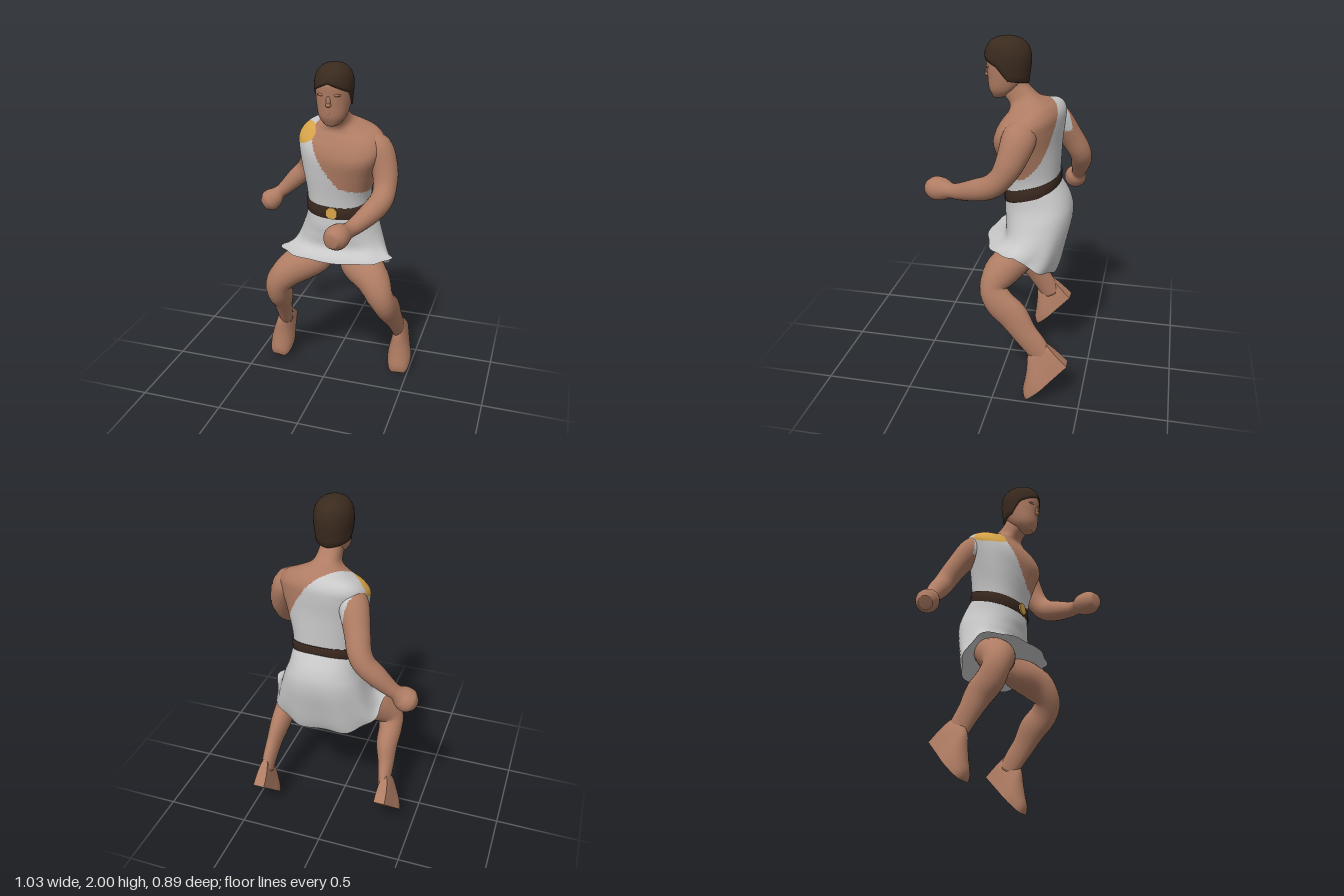
import * as THREE from 'three';
import { toCreasedNormals } from 'three/addons/utils/BufferGeometryUtils.js';

const V = (x, y, z) => new THREE.Vector3(x, y, z);
const lerp = THREE.MathUtils.lerp;
const mat = (name, color, side = THREE.FrontSide) => new THREE.MeshStandardMaterial({ name, color, side });

// Catmull-Rom interpolation of rows of numbers
function smooth(rows, n) {
  const out = [];
  for (let i = 0; i < rows.length - 1; i++) {
    const a = rows[Math.max(i - 1, 0)], b = rows[i], c = rows[i + 1], d = rows[Math.min(i + 2, rows.length - 1)];
    for (let k = 0; k < n; k++) {
      const t = k / n;
      out.push(b.map((_, j) => b[j] + 0.5 * t * (c[j] - a[j]
        + t * (2 * a[j] - 5 * b[j] + 4 * c[j] - d[j] + t * (3 * (b[j] - c[j]) + d[j] - a[j])))));
    }
  }
  out.push(rows[rows.length - 1]);
  return out;
}

// skin a stack of closed rings; pick(centroid) chooses the material of each triangle
function loft(name, rings, mats, pick = () => 0, caps = true) {
  const n = rings[0].length, pts = rings.flat(), tris = [];
  for (let i = 0; i < rings.length - 1; i++) {
    for (let j = 0; j < n; j++) {
      const a = i * n + j, b = i * n + (j + 1) % n;
      tris.push([a, a + n, b], [b, a + n, b + n]);
    }
  }
  if (caps) {
    const last = (rings.length - 1) * n, mid = (r) => r.reduce((s, p) => s.add(p), V(0, 0, 0)).divideScalar(n);
    const c0 = pts.push(mid(rings[0])) - 1, c1 = pts.push(mid(rings[rings.length - 1])) - 1;
    for (let j = 0; j < n; j++) {
      const k = (j + 1) % n;
      tris.push([c0, j, k], [c1, last + k, last + j]);
    }
  }
  const geo = new THREE.BufferGeometry().setFromPoints(pts), index = [];
  const buckets = mats.map(() => []);
  for (const t of tris) {
    const c = pts[t[0]].clone().add(pts[t[1]]).add(pts[t[2]]).divideScalar(3);
    buckets[pick(c)].push(...t);
  }
  buckets.forEach((b, m) => { geo.addGroup(index.length, b.length, m); for (const i of b) index.push(i); });
  geo.setIndex(index);
  geo.computeVertexNormals();
  const mesh = new THREE.Mesh(geo, mats.length > 1 ? mats : mats[0]);
  mesh.name = name;
  return mesh;
}

// roughly horizontal body ring: centre, half width, half depth, forward tilt, yaw
function bodyRing([x, y, z, rx, rz, tilt = 0, yaw = 0], n = 72, power = 2.4, bump = () => 1) {
  return Array.from({ length: n }, (_, j) => {
    const a = j / n * Math.PI * 2, c = Math.cos(a), s = Math.sin(a), k = bump(a);
    const lx = Math.sign(c) * Math.abs(c) ** (2 / power) * rx * k;
    const lz = Math.sign(s) * Math.abs(s) ** (2 / power) * rz * k;
    const dz = lx * Math.sin(yaw) + lz * Math.cos(yaw);
    return V(x + lx * Math.cos(yaw) - lz * Math.sin(yaw), y - dz * tilt, z + dz);
  });
}

// limb rows: x, y, z, radius across, radius fore and aft
function limb(name, rows, ref, mats, pick, steps = 4, sides = 24) {
  const path = smooth(rows.map((r) => (r.length < 5 ? [...r, r[3]] : r)), steps);
  const at = (i) => V(...path[Math.min(Math.max(i, 0), path.length - 1)].slice(0, 3));
  const rings = path.map(([, , , ra, rb], i) => {
    const t = at(i + 1).sub(at(i - 1)).normalize();
    const u = ref.clone().addScaledVector(t, -ref.dot(t)).normalize(), v = u.clone().cross(t);
    return Array.from({ length: sides }, (_, j) => {
      const a = j / sides * Math.PI * 2;
      return at(i).addScaledVector(u, Math.cos(a) * ra).addScaledVector(v, Math.sin(a) * rb);
    });
  });
  return loft(name, rings, mats, pick);
}

// foot with a flat sole from heel to toe; rows: share of length, half width, height
function foot(name, heel, toe, material) {
  const rows = smooth([[0, 0.034, 0.175], [0.17, 0.045, 0.2], [0.4, 0.06, 0.185], [0.6, 0.075, 0.13],
    [0.78, 0.073, 0.085], [0.93, 0.06, 0.05], [1, 0.04, 0.02]], 3);
  const d = toe.clone().sub(heel).normalize();
  const u = V(1, 0, 0).addScaledVector(d, -d.x).normalize(), v = u.clone().cross(d);
  const mesh = loft(name, rows.map(([k, w, h]) => Array.from({ length: 24 }, (_, j) => {
    const a = j / 24 * Math.PI * 2;
    return heel.clone().lerp(toe, k).addScaledVector(u, Math.cos(a) * w).addScaledVector(v, Math.min(Math.sin(a), 0) * h);
  })), [material]);
  mesh.geometry = toCreasedNormals(mesh.geometry, 0.9);
  mesh.geometry.clearGroups();
  return mesh;
}

export function createModel() {
  const g = new THREE.Group();
  g.name = 'figure';
  const skin = mat('skin', 0xaf7c63), cloth = mat('cloth', 0xc8c8c8, THREE.DoubleSide);
  const hair = mat('hair', 0x3a2a1e), leather = mat('belt leather', 0x3a281f), gold = mat('gold', 0xd8a54a);
  const paints = [skin, cloth, gold];

  // gold shoulder patch, diagonal tunic edge and armhole
  const inPatch = (p) => {
    const x = p.x + 0.162, z = p.z + 0.09;
    return ((0.51 * x + 0.86 * z) / 0.13) ** 2 + ((0.86 * x - 0.51 * z) / 0.085) ** 2 + ((p.y - 1.592) / 0.075) ** 2 < 1;
  };
  const paintTorso = (p) => {
    if (inPatch(p)) return 2;
    return p.y < Math.max(1.305 - 0.18 * p.x, 1.42 - 1.2 * p.x - 1.1 * p.z) ? 1 : 0;
  };
  const paintSleeve = (p) => {
    if (inPatch(p)) return 2;
    return 0.857 * (p.x + 0.155) + 0.515 * (p.z + 0.255) > 0 && p.y > 1.45 ? 1 : 0;
  };

  // torso and neck
  const torso = smooth([
    [0.055, 0.88, -0.15, 0.13, 0.10, 0, 0], [0.055, 1.0, -0.16, 0.18, 0.135, 0.1, 0],
    [0.055, 1.17, -0.15, 0.184, 0.147, 0.28, 0.04], [0.055, 1.27, -0.145, 0.194, 0.152, 0.28, 0.1],
    [0.06, 1.39, -0.135, 0.225, 0.16, 0.27, 0.2], [0.068, 1.49, -0.13, 0.255, 0.167, 0.27, 0.27],
    [0.068, 1.555, -0.135, 0.26, 0.158, 0.27, 0.27], [0.07, 1.606, -0.135, 0.223, 0.13, 0.27, 0.27],
    [0.07, 1.637, -0.125, 0.145, 0.1, 0.27, 0.2], [0.065, 1.667, -0.095, 0.077, 0.078, 0.3, 0.1],
    [0.06, 1.72, -0.045, 0.062, 0.073, 0.3, 0], [0.06, 1.78, -0.02, 0.06, 0.07, 0.2, 0]], 10);
  g.add(loft('torso', torso.map((r) => bodyRing(r, 160, 2.5)), paints, paintTorso));

  // skirt with soft folds, a hem that drops at the back, and a lining
  const skirtRows = smooth([
    [0.055, 0.86, -0.105, 0.335, 0.205, 0, 0, 1], [0.06, 0.935, -0.172, 0.28, 0.178, 0.1, 0, 0.4],
    [0.057, 1.0, -0.19, 0.235, 0.19, 0.12, 0, 0.04], [0.055, 1.08, -0.177, 0.203, 0.183, 0.2, 0, 0],
    [0.055, 1.17, -0.15, 0.187, 0.15, 0.28, 0.04, 0]], 6);
  const skirt = skirtRows.map((r) => {
    const w = Math.max(r[7], 0);
    const ring = bodyRing(r, 96, 2.3, (a) => 1 + w * (0.03 * Math.sin(9 * a + 0.6) + 0.012 * Math.sin(5 * a)));
    ring.forEach((p) => { p.y = lerp(p.y, 0.86 - 0.82 * Math.max(0, -0.1 - p.z), w); });
    return ring;
  });
  const inner = skirt[0].map((p) => V(0.055, 0.83, -0.12).lerp(p, 0.05));
  g.add(loft('skirt', skirt, [cloth], undefined, false), loft('skirtLining', [inner, skirt[0]], [cloth], undefined, false));

  // belt and buckle
  g.add(loft('belt', [[1.14, 0.184], [1.14, 0.193], [1.175, 0.193], [1.208, 0.193], [1.208, 0.184]]
    .map(([y, r]) => bodyRing([0.055, y, -0.15, r, r - 0.036, 0.28, 0.04])), [leather], undefined, false));
  const buckle = new THREE.Mesh(new THREE.CylinderGeometry(0.037, 0.037, 0.009, 8), gold);
  buckle.name = 'buckle';
  buckle.rotation.set(Math.PI / 2, Math.PI / 8, 0);
  buckle.position.set(0.05, 1.133, 0.01);
  g.add(buckle);

  // arms ending in fists
  g.add(limb('leftArm', [[0.2, 1.54, -0.12, 0.06], [0.285, 1.515, -0.113, 0.082, 0.092], [0.338, 1.4, -0.077, 0.075, 0.08],
    [0.352, 1.31, -0.03, 0.067], [0.345, 1.25, 0.03, 0.066], [0.31, 1.21, 0.12, 0.062], [0.255, 1.17, 0.23, 0.048],
    [0.228, 1.16, 0.29, 0.044], [0.203, 1.155, 0.34, 0.064], [0.187, 1.152, 0.395, 0.067], [0.175, 1.15, 0.438, 0.04]],
  V(1, 0, 0), [skin]));
  g.add(limb('rightArm', [[-0.08, 1.555, -0.19, 0.07], [-0.13, 1.51, -0.245, 0.082], [-0.175, 1.4, -0.32, 0.07],
    [-0.205, 1.31, -0.37, 0.065], [-0.24, 1.25, -0.383, 0.062], [-0.3, 1.19, -0.375, 0.058], [-0.37, 1.12, -0.36, 0.045],
    [-0.405, 1.09, -0.35, 0.042], [-0.435, 1.06, -0.335, 0.062], [-0.468, 1.03, -0.325, 0.066], [-0.497, 1.008, -0.315, 0.04]],
  V(0, 0, 1), paints, paintSleeve, 14, 72));

  // bent legs and lifted heels
  g.add(limb('leftLeg', [[0.145, 0.9, -0.185, 0.11, 0.1], [0.2, 0.8, -0.105, 0.125, 0.1], [0.3, 0.73, -0.02, 0.102, 0.1],
    [0.355, 0.645, 0.02, 0.08, 0.078], [0.385, 0.57, -0.022, 0.065, 0.088], [0.395, 0.5, -0.1, 0.058, 0.09],
    [0.41, 0.41, -0.168, 0.046, 0.075], [0.417, 0.33, -0.235, 0.04, 0.07], [0.42, 0.26, -0.285, 0.036, 0.06]], V(1, 0, 0), [skin]));
  g.add(limb('rightLeg', [[-0.035, 0.9, -0.185, 0.11, 0.1], [-0.1, 0.8, -0.1, 0.125, 0.1], [-0.21, 0.73, -0.015, 0.102, 0.1],
    [-0.28, 0.65, 0.02, 0.08, 0.078], [-0.293, 0.57, -0.01, 0.07, 0.085], [-0.293, 0.5, -0.075, 0.064, 0.085],
    [-0.305, 0.41, -0.125, 0.05, 0.07], [-0.313, 0.33, -0.175, 0.04, 0.066], [-0.32, 0.26, -0.215, 0.036, 0.06]], V(1, 0, 0), [skin]));
  g.add(foot('leftFoot', V(0.42, 0.235, -0.42), V(0.44, 0.0, -0.19), skin));
  g.add(foot('rightFoot', V(-0.325, 0.25, -0.34), V(-0.35, 0.025, -0.125), skin));

  // head
  const head = smooth([[0.06, 1.667, 0.05, 0.028, 0.026], [0.06, 1.683, 0.037, 0.052, 0.047], [0.06, 1.72, 0.02, 0.078, 0.08],
    [0.06, 1.78, 0.003, 0.092, 0.103], [0.06, 1.84, 0, 0.098, 0.112], [0.06, 1.9, 0, 0.1, 0.114],
    [0.06, 1.96, 0, 0.08, 0.095], [0.06, 1.985, 0, 0.04, 0.05]], 4);
  g.add(loft('head', head.map((r) => bodyRing(r, 36, 2.2)), [skin]));

  // nose, brow, lips and chin
  for (const [name, x, y, z, sx, sy, sz] of [['leftBrow', 0.095, 1.843, 0.09, 0.032, 0.01, 0.02],
    ['rightBrow', 0.025, 1.843, 0.09, 0.032, 0.01, 0.02], ['nose', 0.06, 1.81, 0.1, 0.014, 0.036, 0.02],
    ['noseTip', 0.06, 1.79, 0.104, 0.017, 0.013, 0.022], ['lips', 0.06, 1.743, 0.085, 0.028, 0.01, 0.02],
    ['chin', 0.06, 1.698, 0.068, 0.03, 0.02, 0.02]]) {
    const part = new THREE.Mesh(new THREE.SphereGeometry(1, 12, 8), skin);
    part.name = name;
    part.scale.set(sx, sy, sz);
    part.position.set(x, y, z);
    g.add(part);
  }

  // short hair, lower at the temples and nape
  const hem = (a) => (a < 1.2 ? 1.905 - 0.055 * a / 1.2 : a < 1.7 ? lerp(1.85, 1.775, (a - 1.2) / 0.5) : lerp(1.775, 1.752, (a - 1.7) / 1.44));
  const hairRings = [];
  for (let i = -1; i <= 12; i++) {
    const t = Math.sin(Math.max(i, 0) / 12 * Math.PI / 2);
    hairRings.push(Array.from({ length: 48 }, (_, j) => {
      const th = j / 48 * Math.PI * 2, c = Math.cos(th), s = Math.sin(th);
      const y = lerp(hem(Math.acos(THREE.MathUtils.clamp(s, -1, 1))), 2, t), k = (y - 1.87) / 0.13;
      const f = (k > 0 ? (1 - Math.min(k, 1) ** 2.6) ** 0.42 : 1 + 0.12 * k) * (i < 0 ? 0.86 : 1);
      return V(0.06 + c * 0.108 * f, y, -0.004 + s * 0.129 * f);
    }));
  }
  g.add(loft('hair', hairRings, [hair], undefined, false));
  return g;
}
